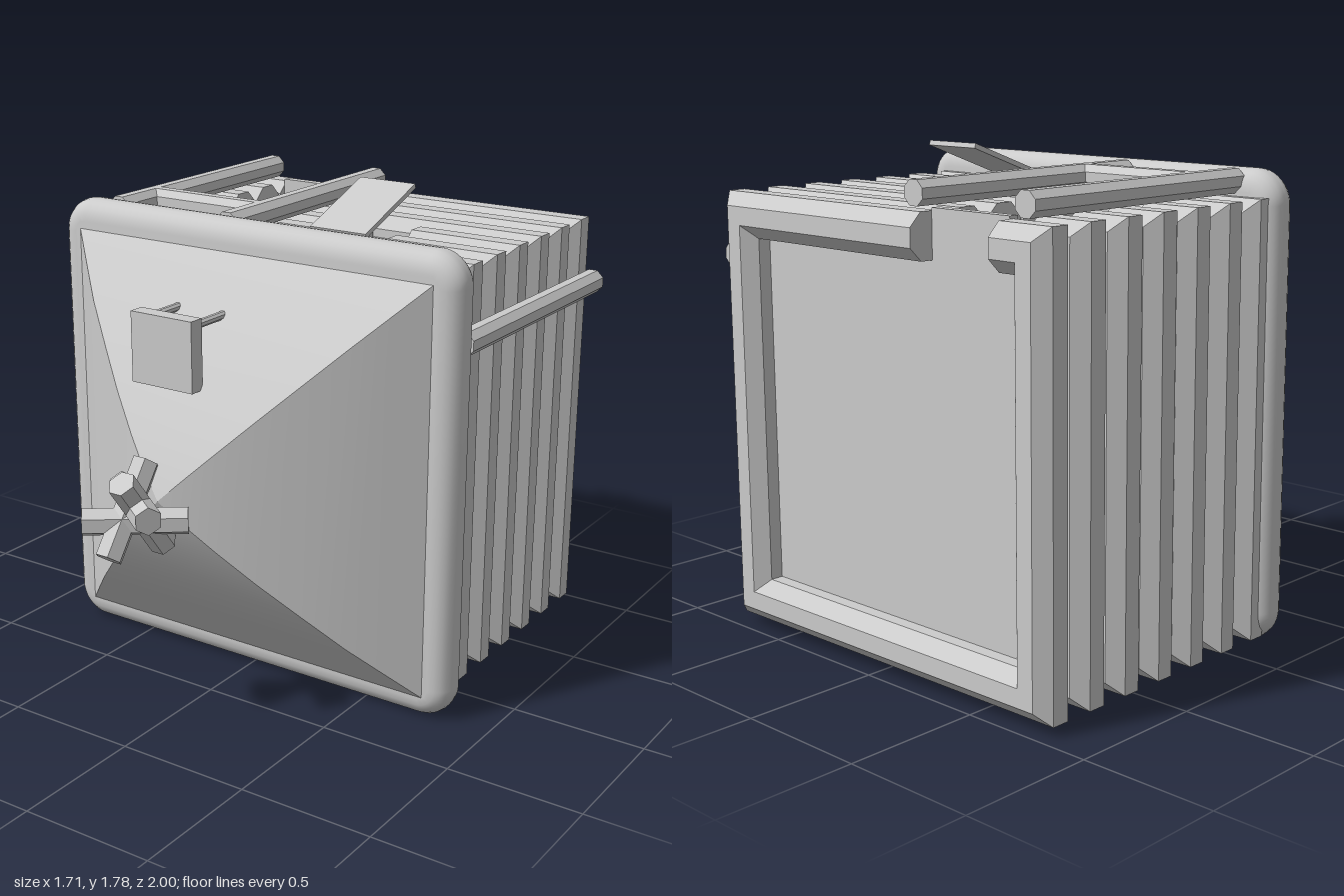
import * as THREE from 'three';
import { toCreasedNormals } from 'three/addons/utils/BufferGeometryUtils.js';

const CX = -0.035, CY = 0.83;   // middle of the ribbed body
const HALF = 0.71;              // body centre to rib centre line
const RIB = 0.08;               // rib half thickness

export function createModel() {
  const model = new THREE.Group();
  const grey = new THREE.MeshStandardMaterial({ color: 0xcccccc });

  const add = (parent, name, geo, x = 0, y = 0, z = 0, crease = 0.3) => {
    const mesh = new THREE.Mesh(toCreasedNormals(geo, crease), grey);
    mesh.name = name;
    mesh.position.set(x, y, z);
    parent.add(mesh);
    return mesh;
  };
  const box = (name, x0, x1, y0, y1, z0, z1) => add(model, name,
    new THREE.BoxGeometry(x1 - x0, y1 - y0, z1 - z0), (x0 + x1) / 2, (y0 + y1) / 2, (z0 + z1) / 2);
  // prism with flat sides squared to the axes, lying along y
  const prism = (halfWidth, length, sides = 8) => new THREE.CylinderGeometry(
    halfWidth / Math.cos(Math.PI / sides), halfWidth / Math.cos(Math.PI / sides),
    length, sides, 1, false, Math.PI / sides);

  // octagonal rib side from a to b, with mitred ends where it meets a corner
  const ribSide = (a, b) => {
    const geo = prism(RIB, b - a).rotateZ(-Math.PI / 2);
    const p = geo.attributes.position;
    for (let i = 0; i < p.count; i++) {
      const x = p.getX(i) + (a + b) / 2, u = p.getY(i);
      const end = Math.abs(x) > HALF - 0.001 ? Math.sign(x) * u : 0;
      p.setXYZ(i, x + end, u + HALF, p.getZ(i));
    }
    return geo;
  };

  // ribbed body, with two openings cut in the top
  box('bodyCore', CX - HALF, CX + HALF, CY - HALF, CY + HALF, -0.9, 0.15);
  const bay = [-0.6, -0.25], hatch = [0.075, 0.31];
  for (let i = 0; i < 7; i++) {
    const rib = new THREE.Group();
    rib.name = 'rib';
    rib.position.set(CX, CY, -0.915 + 0.172 * i);
    model.add(rib);
    for (let k = 1; k < 4; k++) {
      add(rib, 'ribSide', ribSide(-HALF, HALF)).rotation.z = k * Math.PI / 2;
    }
    const cuts = [];
    if (i < 5) cuts.push(bay);
    if (i === 3 || i === 4) cuts.push(hatch);
    let start = -HALF;
    for (const [a, b] of cuts) {
      add(rib, 'ribTop', ribSide(start, a - CX));
      start = b - CX;
    }
    add(rib, 'ribTop', ribSide(start, HALF));
  }
  box('bayBackWall', bay[0], bay[1], 1.5, 1.63, -0.9, -0.865);

  // open hatch lid
  const lid = add(model, 'hatchLid', new THREE.BoxGeometry(0.235, 0.018, 0.365), 0.1925, 1.718, -0.215);
  lid.rotation.x = 0.35;

  // rails and cross bar
  const railGeo = prism(0.043, 1.04).rotateX(Math.PI / 2);
  for (const [x, y] of [[-0.675, 1.672], [-0.175, 1.672], [0.802, 1.382]]) {
    add(model, 'rail', railGeo, x, y, -0.39);
  }
  add(model, 'crossBar', prism(0.043, 0.48).rotateZ(Math.PI / 2), -0.425, 1.672, -0.09);

  // rounded rim
  const s = 0.78, r = 0.05;
  const shape = new THREE.Shape();
  [[1, 1, 0], [-1, 1, 1], [-1, -1, 2], [1, -1, 3]].forEach(([sx, sy, q]) =>
    shape.absarc(sx * (s - r), sy * (s - r), r, q * Math.PI / 2, (q + 1) * Math.PI / 2, false));
  shape.closePath();
  const rim = new THREE.ExtrudeGeometry(shape, {
    depth: 0.01, bevelThickness: 0.07, bevelSize: 0.075, bevelSegments: 5, curveSegments: 5,
  });
  add(model, 'frontRim', rim, 0, 0.86, 0.18, 0.7);

  // bulging four-sided nose
  const profile = [[0.78, 0.24], [0.66, 0.345], [0.55, 0.44], [0.42, 0.535], [0.3, 0.62],
    [0.18, 0.695], [0.08, 0.75], [0, 0.785]]
    .map(([h, z]) => new THREE.Vector2(h * Math.SQRT2, z));
  const nose = new THREE.LatheGeometry(profile, 4, Math.PI / 4).rotateX(Math.PI / 2);
  add(model, 'nose', nose, 0, 0.85, 0, 0.5);

  // block on two pins
  box('frontBlock', -0.22, 0.04, 1.2, 1.455, 0.57, 0.63);
  for (const x of [-0.185, 0.01]) {
    add(model, 'blockPin', prism(0.014, 0.18).rotateX(Math.PI / 2), x, 1.425, 0.49);
  }

  // crossed hexagonal bars at the tip
  const tilt = 0.64;
  for (const side of [-1, 1]) {
    const upright = prism(0.043, 0.36, 6).rotateX(side * tilt);
    add(model, 'tipBar', upright, CX + side * 0.034, CY, 0.862);
    const level = prism(0.043, 0.36, 6).rotateX(side * tilt).rotateZ(-Math.PI / 2);
    add(model, 'tipBar', level, CX, CY + side * 0.034, 0.862);
  }
  return model;
}
